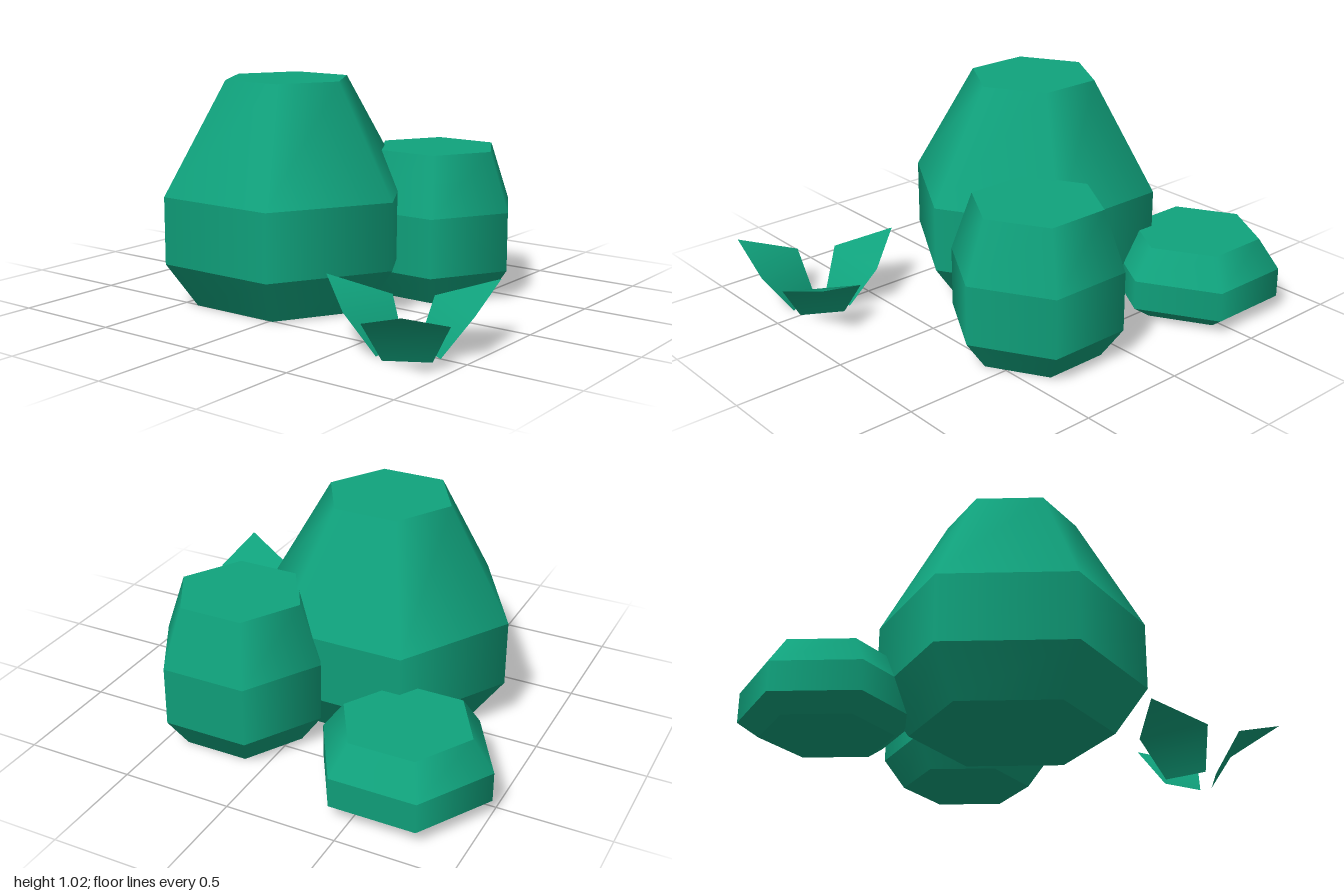
import * as THREE from 'three';
import { mergeGeometries } from 'three/addons/utils/BufferGeometryUtils.js';

const green = new THREE.MeshStandardMaterial({ color: 0x10a37d });
const leafGreen = new THREE.MeshStandardMaterial({ color: 0x10a37d, side: THREE.DoubleSide });

// Hexagonal bush: rings are [radius, y] from the ground up, smooth around, creased between bands
function bush(name, x, z, rings) {
  const parts = [];
  for (let i = 0; i < rings.length - 1; i++) {
    const [r0, y0] = rings[i], [r1, y1] = rings[i + 1];
    parts.push(new THREE.CylinderGeometry(r1, r0, y1 - y0, 6, 1, true).translate(0, (y0 + y1) / 2, 0));
  }
  const [rb, yb] = rings[0], [rt, yt] = rings[rings.length - 1];
  parts.push(new THREE.CircleGeometry(rb, 6, Math.PI / 2).rotateX(Math.PI / 2).translate(0, yb, 0));
  parts.push(new THREE.CircleGeometry(rt, 6, Math.PI / 2).rotateX(-Math.PI / 2).translate(0, yt, 0));
  const mesh = new THREE.Mesh(mergeGeometries(parts), green);
  mesh.name = name;
  mesh.position.set(x, 0, z);
  return mesh;
}

// One bent, pointed blade leaning out along +z
function bladeGeometry() {
  const g = new THREE.BufferGeometry();
  g.setAttribute('position', new THREE.Float32BufferAttribute([
    -0.1, 0, 0.091, 0.1, 0, 0.091, // base
    -0.173, 0.18, 0.201, 0.173, 0.18, 0.201, // shoulders
    0, 0.27, 0.416, // tip
  ], 3));
  g.setIndex([0, 2, 3, 0, 3, 1, 2, 4, 3]);
  g.computeVertexNormals();
  return g;
}

export function createModel() {
  const model = new THREE.Group();
  model.name = 'bushes';

  model.add(
    bush('largeBush', -0.125, -0.205, [[0.44, 0], [0.585, 0.205], [0.585, 0.51], [0.293, 1.017]]),
    bush('frontBush', 0.415, 0.252, [[0.293, 0], [0.39, 0.137], [0.39, 0.408], [0.293, 0.68]]),
    bush('lowBush', 0.552, -0.61, [[0.293, 0], [0.39, 0.068], [0.39, 0.204], [0.293, 0.34]]),
  );

  // Tuft of three blades spread evenly around its centre
  const tuft = new THREE.Group();
  tuft.name = 'grassTuft';
  tuft.position.set(-0.53, 0, 0.746);
  const blade = bladeGeometry();
  for (let i = 0; i < 3; i++) {
    const mesh = new THREE.Mesh(blade, leafGreen);
    mesh.name = 'grassBlade' + (i + 1);
    mesh.rotation.y = Math.PI + (i * Math.PI * 2) / 3;
    tuft.add(mesh);
  }
  model.add(tuft);
  return model;
}
